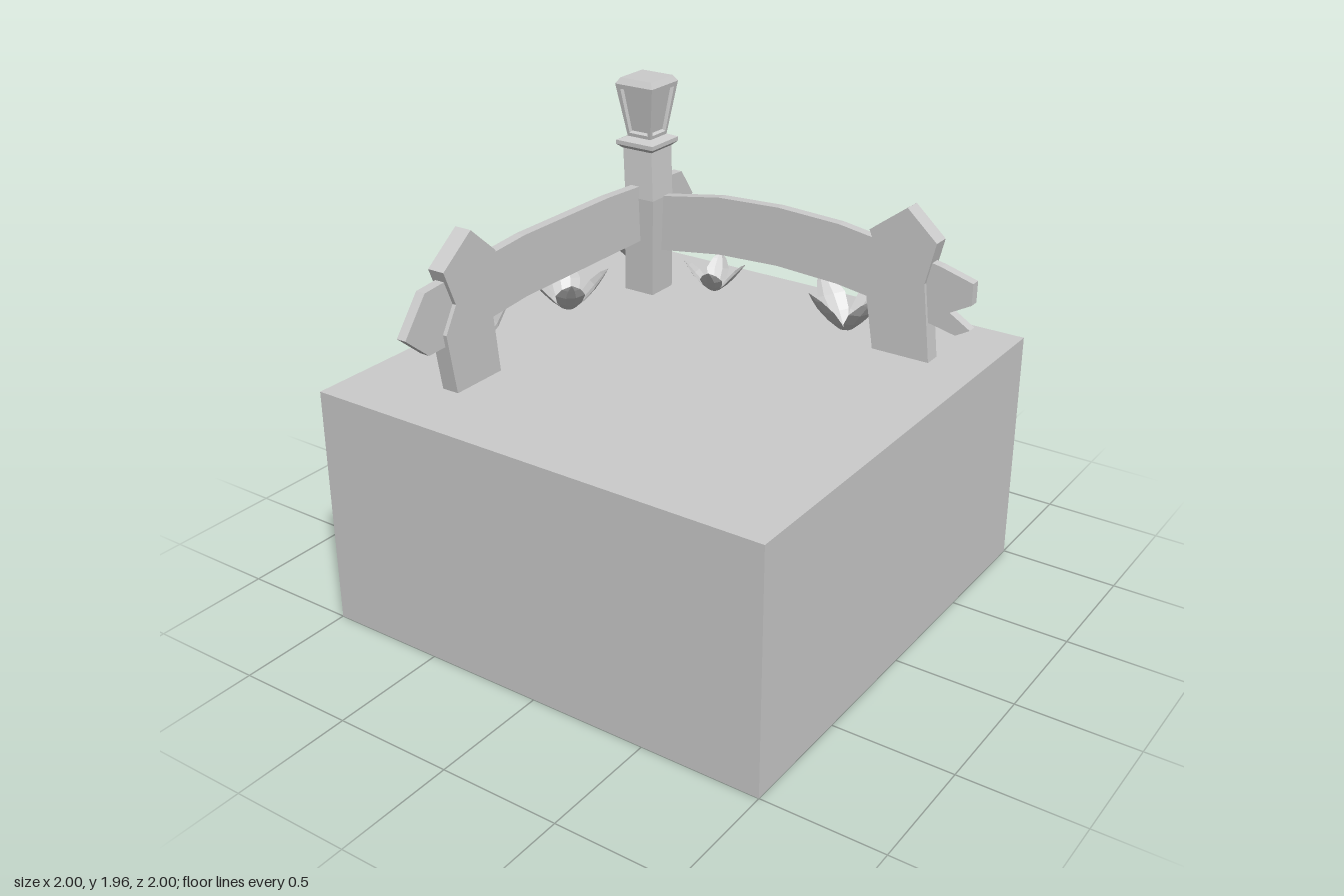
import * as THREE from 'three';

const GROUND = 1.013;
const POST_X = -0.595, POST_Z = -0.585;
const grey = new THREE.MeshStandardMaterial({ color: 0xcccccc, flatShading: true });
const thin = new THREE.MeshStandardMaterial({ color: 0xcccccc, flatShading: true, side: THREE.DoubleSide });

function mesh(name, geometry, material = grey) {
  const m = new THREE.Mesh(geometry, material);
  m.name = name;
  return m;
}

// Flat geometry from a list of quads, corners counter-clockwise seen from outside
function quadGeometry(quads) {
  const pts = quads.flatMap(([a, b, c, d]) => [a, b, c, a, c, d]);
  const geo = new THREE.BufferGeometry().setFromPoints(pts);
  geo.computeVertexNormals();
  return geo;
}

// Square ring of corners at height y, optionally pushed sideways
function squareRing(y, half, shift = 0) {
  return [[1, 1], [1, -1], [-1, -1], [-1, 1]].map(
    ([x, z]) => new THREE.Vector3(x * half + shift, y, z * half + shift));
}

function bridge(low, high) {
  return low.map((p, i) => {
    const j = (i + 1) % low.length;
    return [p, low[j], high[j], high[i]];
  });
}

// Square column through [y, half width, shift] levels, capped at both ends
function squareLoft(levels) {
  const rings = levels.map(l => squareRing(...l));
  const quads = [[...rings[0]].reverse(), rings.at(-1)];
  for (let i = 1; i < rings.length; i++) quads.push(...bridge(rings[i - 1], rings[i]));
  return quadGeometry(quads);
}

// Board cut from an outline, centred on its thickness
function board(outline, thickness) {
  const shape = new THREE.Shape(outline.map(([x, y]) => new THREE.Vector2(x, y)));
  const geo = new THREE.ExtrudeGeometry(shape, { depth: thickness, bevelEnabled: false });
  return geo.translate(0, 0, -thickness / 2);
}

// Lantern glass housing: four tapered sides, each with a recessed window
function lanternBody(y0, half0, y1, half1) {
  const low = squareRing(y0, half0), high = squareRing(y1, half1);
  const quads = [];
  for (const [a, b, c, d] of bridge(low, high)) {
    const at = (u, v) => a.clone().lerp(b, u).lerp(d.clone().lerp(c, u), v);
    const panel = (u, v) => [at(u, v), at(1 - u, v), at(1 - u, 1 - v), at(u, 1 - v)];
    const inward = new THREE.Vector3().subVectors(d, a).cross(new THREE.Vector3().subVectors(b, a))
      .normalize().multiplyScalar(0.014);
    const opening = panel(0.115, 0.085);
    const glass = panel(0.15, 0.11).map(p => p.add(inward));
    quads.push(...bridge([a, b, c, d], opening), ...bridge(opening, glass), glass);
  }
  return quadGeometry(quads);
}

// One leaf: folded cross-sections [distance out, height, half width], pointing along +x
function leafGeometry() {
  const sections = [[0.16, 0, 0.14], [0.4, 0.22, 0.3], [0.66, 0.52, 0.36], [0.86, 0.8, 0.22], [1, 1, 0.005]];
  const rows = sections.map(([r, y, w]) => [-1, -0.35, 0.35, 1].map(s => {
    const fold = Math.abs(s) === 1 ? w * 0.25 : 0;
    return new THREE.Vector3(r - fold, y + fold * 0.5, s * w);
  }));
  const quads = [];
  for (let i = 1; i < rows.length; i++)
    for (let j = 0; j < 3; j++)
      quads.push([rows[i - 1][j], rows[i - 1][j + 1], rows[i][j + 1], rows[i][j]]);
  return quadGeometry(quads);
}

export function createModel() {
  const model = new THREE.Group();
  model.name = 'fenceCornerWithLantern';

  // Ground block
  const ground = mesh('groundBlock', new THREE.BoxGeometry(2, GROUND, 2));
  ground.position.y = GROUND / 2;
  model.add(ground);

  // Corner post with lantern
  const lamp = new THREE.Group();
  lamp.name = 'lampPost';
  lamp.position.set(POST_X, 0, POST_Z);
  lamp.add(
    mesh('cornerPost', squareLoft([[GROUND, 0.073, 0], [1.45, 0.072, 0.022], [1.66, 0.073, 0]])),
    mesh('postCollar', squareLoft([[1.655, 0.075], [1.672, 0.094], [1.69, 0.094], [1.705, 0.06]])),
    mesh('lanternHousing', lanternBody(1.7, 0.058, 1.932, 0.094)),
    mesh('lanternCap', squareLoft([[1.932, 0.094], [1.957, 0.078]])));
  model.add(lamp);

  // Rail running across the back, with a split right end
  const backRail = mesh('backRail', board([
    [-0.805, 1.33], [-0.805, 1.21], [-0.7, 1.165], [-0.5, 1.21], [-0.217, 1.25], [0.07, 1.262],
    [0.355, 1.247], [0.505, 1.225], [0.8, 1.17], [0.89, 1.15], [0.95, 1.185], [0.86, 1.24],
    [0.95, 1.29], [0.95, 1.38], [0.81, 1.42], [0.56, 1.47], [0.355, 1.502], [0.07, 1.515],
    [-0.217, 1.502], [-0.5, 1.455], [-0.74, 1.405]], 0.042));
  backRail.position.z = -0.589;
  model.add(backRail);

  // Rail running down the side
  const sideRail = mesh('sideRail', board([
    [-0.952, 1.31], [-0.835, 1.21], [-0.715, 1.214], [-0.475, 1.24], [-0.262, 1.257], [0.75, 1.257],
    [0.898, 1.364], [0.812, 1.487], [0.48, 1.503], [0.285, 1.513], [-0.262, 1.513],
    [-0.46, 1.497], [-0.725, 1.47], [-0.835, 1.46]], 0.042));
  sideRail.rotation.y = Math.PI / 2;
  sideRail.position.x = -0.596;
  model.add(sideRail);

  // Matching pointed pickets at the rail ends
  const picket = board([
    [-0.123, GROUND], [0.129, GROUND], [0.091, 1.34], [0.133, 1.515], [0, 1.635],
    [-0.16, 1.515], [-0.103, 1.37], [-0.165, 1.265]], 0.075);
  const backPicket = mesh('backPicket', picket);
  backPicket.position.set(0.661, 0, -0.59);
  const sidePicket = mesh('sidePicket', picket);
  sidePicket.position.set(-0.595, 0, 0.589);
  sidePicket.rotation.y = Math.PI / 2;
  model.add(backPicket, sidePicket);

  // Four-leaved plants: x, z, radius, height, turn in degrees
  const leaf = leafGeometry();
  const plants = [
    [-0.775, -0.8, 0.185, 0.17, 20],
    [-0.34, -0.725, 0.137, 0.125, -22],
    [-0.74, -0.2, 0.175, 0.165, 46],
    [-0.795, 0.41, 0.215, 0.2, 23],
    [0.345, -0.68, 0.195, 0.195, 25]];
  for (const [x, z, radius, height, turn] of plants) {
    const plant = new THREE.Group();
    plant.name = 'plant';
    plant.position.set(x, GROUND, z);
    plant.scale.set(radius, height, radius);
    for (let i = 0; i < 4; i++) {
      const l = mesh('leaf', leaf, thin);
      l.rotation.y = -THREE.MathUtils.degToRad(turn) + i * Math.PI / 2;
      plant.add(l);
    }
    model.add(plant);
  }
  return model;
}
